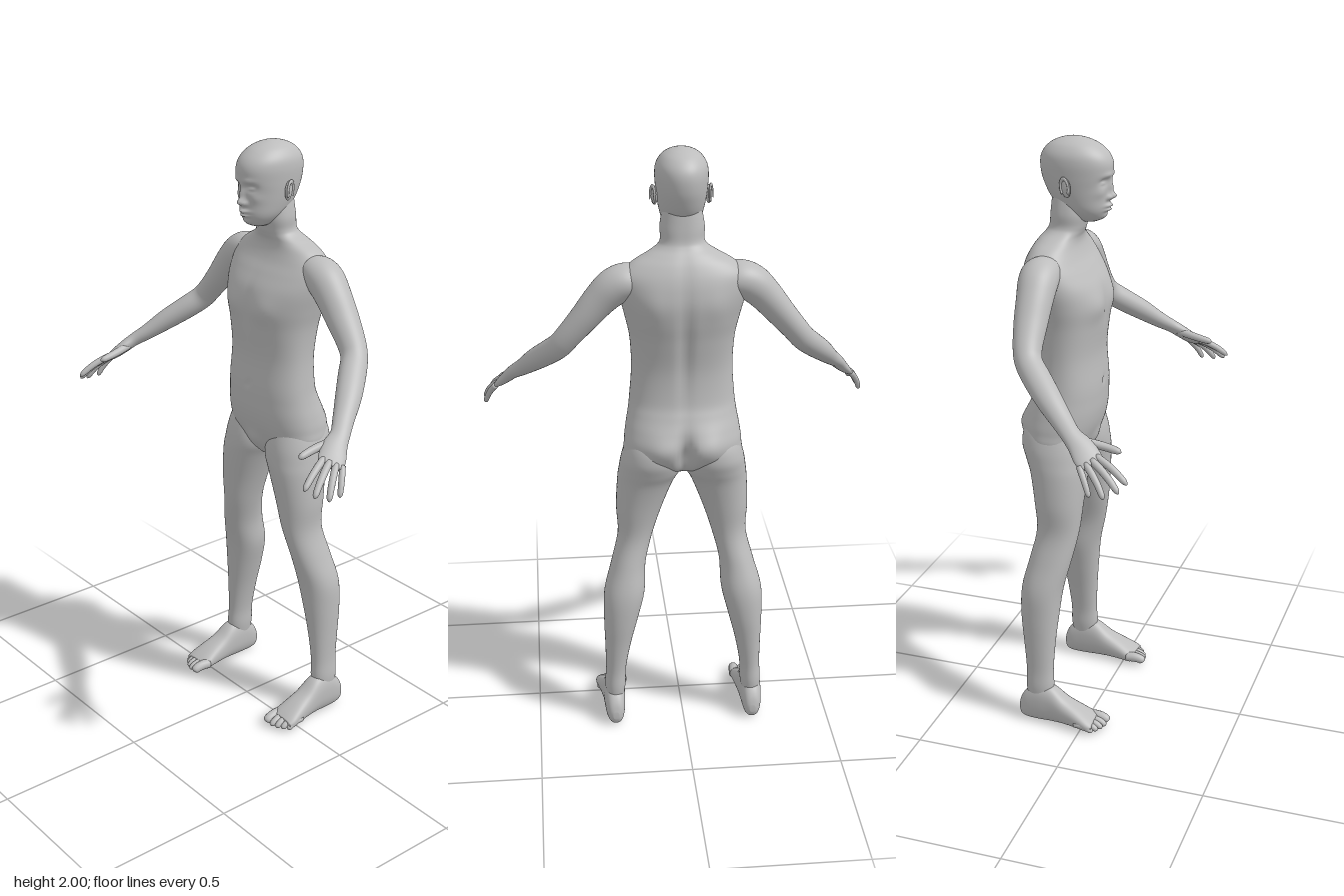
import * as THREE from 'three';

const skin = new THREE.MeshStandardMaterial({ color: 0xbdbdbd });
skin.name = 'skin';

// Catmull-Rom interpolation of every column of a table of cross-sections
function refine(rows, sub) {
  const out = [];
  const at = (i) => rows[Math.min(Math.max(i, 0), rows.length - 1)];
  for (let i = 0; i < rows.length - 1; i++) {
    for (let k = 0; k < sub; k++) {
      const t = k / sub;
      out.push(rows[i].map((b, j) => {
        const a = at(i - 1)[j], c = at(i + 1)[j], d = at(i + 2)[j];
        return b + 0.5 * t * (c - a + t * (2 * a - 5 * b + 4 * c - d + t * (3 * (b - c) + d - a)));
      }));
    }
  }
  out.push(rows[rows.length - 1]);
  return out;
}

// Closed smooth skin over cross-sections; place() gives a point of one section
function loft(table, sub, segs, place, n = 2) {
  const rows = refine(table, sub), pos = [], idx = [];
  const power = (v) => Math.sign(v) * Math.abs(v) ** (2 / n);
  rows.forEach((row, i) => {
    for (let j = 0; j < segs; j++) {
      const a = (j / segs) * Math.PI * 2;
      pos.push(...place(row, power(Math.cos(a)), power(Math.sin(a)), i, rows));
    }
  });
  for (let i = 0; i < rows.length - 1; i++) {
    for (let j = 0; j < segs; j++) {
      const a = i * segs + j, b = i * segs + (j + 1) % segs;
      idx.push(a, a + segs, b, b, a + segs, b + segs);
    }
  }
  // End caps
  [0, rows.length - 1].forEach((r) => {
    const mid = [0, 0, 0], centre = pos.length / 3;
    for (let j = 0; j < segs; j++) for (let k = 0; k < 3; k++) mid[k] += pos[(r * segs + j) * 3 + k] / segs;
    pos.push(...mid);
    for (let j = 0; j < segs; j++) {
      const a = r * segs + j, b = r * segs + (j + 1) % segs;
      if (r === 0) idx.push(centre, a, b); else idx.push(centre, b, a);
    }
  });
  // Turn the faces outward if the enclosed volume is negative
  const v = (i) => new THREE.Vector3().fromArray(pos, i * 3);
  let volume = 0;
  for (let i = 0; i < idx.length; i += 3) volume += v(idx[i]).dot(v(idx[i + 1]).cross(v(idx[i + 2])));
  if (volume < 0) idx.reverse();
  const geo = new THREE.BufferGeometry();
  geo.setAttribute('position', new THREE.Float32BufferAttribute(pos, 3));
  geo.setIndex(idx);
  geo.computeVertexNormals();
  return geo;
}

// Section rows for limbs: x, y, z, wide radius, thin radius; wide axis follows the knuckles
const knuckleAxis = new THREE.Vector3(-0.69, 0.3, 0.72);
function alongPath(row, c, s, i, rows) {
  const p = new THREE.Vector3().fromArray(row);
  const t = new THREE.Vector3().fromArray(rows[Math.min(i + 1, rows.length - 1)])
    .sub(new THREE.Vector3().fromArray(rows[Math.max(i - 1, 0)])).normalize();
  const wide = knuckleAxis.clone().addScaledVector(t, -knuckleAxis.dot(t)).normalize();
  const thin = t.clone().cross(wide);
  return p.addScaledVector(wide, c * row[3]).addScaledVector(thin, s * row[4]).toArray();
}

// Rounded tapering digit through base, joint and tip
function digit(base, joint, tip, r) {
  const curve = new THREE.QuadraticBezierCurve3(...[base, joint, tip].map((p) => new THREE.Vector3(...p)));
  const rows = [[0, 1], [0.3, 1], [0.6, 0.95], [0.85, 0.85], [0.95, 0.6], [1, 0.12]]
    .map(([t, k]) => [...curve.getPoint(t).toArray(), r * k, r * k]);
  return loft(rows, 3, 14, alongPath);
}

const bump = (dx, sx, dy, sy) => Math.exp(-((dx / sx) ** 2) - (dy / sy) ** 2);

// Torso and neck: y, half width, front z, back z
const torsoRows = [
  [0.935, 0.03, -0.07, -0.16], [0.96, 0.1, -0.05, -0.21], [1, 0.186, -0.034, -0.246],
  [1.05, 0.191, -0.015, -0.262], [1.1, 0.185, -0.005, -0.25], [1.15, 0.176, -0.002, -0.23],
  [1.2, 0.17, -0.002, -0.215], [1.3, 0.163, -0.008, -0.212], [1.4, 0.168, 0.002, -0.23],
  [1.47, 0.182, 0.006, -0.246], [1.53, 0.196, -0.006, -0.254], [1.58, 0.203, -0.034, -0.25],
  [1.62, 0.196, -0.06, -0.24], [1.655, 0.16, -0.075, -0.224], [1.68, 0.115, -0.077, -0.207],
  [1.7, 0.081, -0.07, -0.19], [1.72, 0.069, -0.063, -0.18], [1.76, 0.07, -0.056, -0.176],
  [1.82, 0.06, -0.06, -0.17],
];
function torsoPoint([y, w, zf, zb], c, s) {
  const x = c * w, ax = Math.abs(x), f = Math.max(s, 0), b = Math.max(-s, 0);
  let z = (zf + zb) / 2 + s * (zf - zb) / 2;
  // Chest, breastbone, navel and groin
  z += f * (0.01 * bump(ax - 0.08, 0.05, y - 1.47, 0.045) - 0.004 * bump(x, 0.015, y - 1.46, 0.08)
    - 0.006 * bump(x, 0.008, y - 1.2, 0.01) + 0.012 * bump(x, 0.035, y - 0.995, 0.03));
  // Spine groove, shoulder blades and buttocks
  z += b * (0.012 * bump(x, 0.02, y - 1.4, 0.2) - 0.006 * bump(ax - 0.1, 0.04, y - 1.53, 0.06)
    - 0.014 * bump(ax - 0.085, 0.05, y - 1.05, 0.055) + 0.045 * bump(x, 0.022, y - 1.02, 0.065));
  return [x, y, z];
}

// Head: y, half width, front z, back z
const headRows = [
  [1.733, 0.02, -0.028, -0.08], [1.742, 0.036, -0.008, -0.1], [1.76, 0.052, 0.005, -0.125],
  [1.78, 0.063, 0.012, -0.152], [1.81, 0.071, 0.014, -0.177], [1.845, 0.077, 0.017, -0.195],
  [1.88, 0.081, 0.024, -0.207], [1.92, 0.083, 0.026, -0.211], [1.95, 0.078, 0.013, -0.203],
  [1.975, 0.062, -0.015, -0.181], [1.99, 0.041, -0.047, -0.153], [1.998, 0.018, -0.078, -0.122],
  [2, 0.004, -0.096, -0.104],
];
function headPoint([y, w, zf, zb], c, s) {
  const x = c * w, ax = Math.abs(x);
  let z = (zf + zb) / 2 + s * (zf - zb) / 2;
  if (s > 0) {
    // Nose bridge, tip and wings
    let d = 0.012 * bump(x, 0.009, y - 1.842, 0.022) + 0.022 * bump(x, 0.011, y - 1.818, 0.012)
      + 0.01 * bump(ax - 0.014, 0.006, y - 1.814, 0.007);
    // Eye sockets, lids, brows and cheekbones
    d += -0.015 * bump(ax - 0.031, 0.016, y - 1.866, 0.012) + 0.009 * bump(ax - 0.032, 0.011, y - 1.863, 0.006)
      + 0.005 * bump(ax - 0.026, 0.02, y - 1.887, 0.008) + 0.004 * bump(ax - 0.045, 0.015, y - 1.832, 0.015);
    // Lips and chin
    d += 0.014 * bump(x, 0.02, y - 1.788, 0.006) + 0.012 * bump(x, 0.018, y - 1.774, 0.005)
      + 0.006 * bump(x, 0.018, y - 1.752, 0.009);
    z += d * Math.min(1, s * 2);
  }
  return [x, y, z];
}

// Legs: y, inner x, outer x, front z, back z
const legRows = [
  [1.13, 0.04, 0.14, -0.07, -0.18], [1.06, 0.012, 0.18, -0.045, -0.238], [1, 0.003, 0.2, -0.028, -0.25],
  [0.95, 0.005, 0.209, -0.022, -0.235], [0.9, 0.03, 0.215, -0.022, -0.215], [0.8, 0.068, 0.22, -0.03, -0.195],
  [0.7, 0.1, 0.216, -0.04, -0.185], [0.6, 0.125, 0.24, -0.06, -0.204], [0.5, 0.131, 0.267, -0.084, -0.226],
  [0.4, 0.155, 0.27, -0.096, -0.226], [0.3, 0.18, 0.268, -0.105, -0.215], [0.2, 0.198, 0.267, -0.11, -0.205],
  [0.13, 0.201, 0.271, -0.108, -0.205], [0.06, 0.212, 0.264, -0.12, -0.195],
];
const legPoint = ([y, a, b, zf, zb], c, s) => [(a + b) / 2 + c * (b - a) / 2, y, (zf + zb) / 2 + s * (zf - zb) / 2];

// Feet: z, inner x, outer x, sole y, top y
const footRows = [
  [-0.231, 0.228, 0.248, 0.03, 0.055], [-0.222, 0.215, 0.261, 0.01, 0.085], [-0.2, 0.207, 0.27, 0.002, 0.115],
  [-0.16, 0.203, 0.275, 0, 0.143], [-0.11, 0.2, 0.278, 0.002, 0.137], [-0.06, 0.197, 0.284, 0.004, 0.1],
  [-0.01, 0.193, 0.292, 0.003, 0.073], [0.025, 0.19, 0.297, 0.002, 0.053], [0.045, 0.196, 0.293, 0.008, 0.04],
];
const footPoint = ([z, a, b, y0, y1], c, s) => [(a + b) / 2 + c * (b - a) / 2, (y0 + y1) / 2 + s * (y1 - y0) / 2, z];

// Arms with palms, from inside the shoulder to the knuckles
const armRows = [
  [0.11, 1.6, -0.155, 0.05, 0.03], [0.17, 1.598, -0.152, 0.062, 0.054], [0.215, 1.578, -0.148, 0.063, 0.059],
  [0.26, 1.535, -0.143, 0.058, 0.053], [0.31, 1.475, -0.138, 0.053, 0.046], [0.36, 1.415, -0.13, 0.046, 0.041],
  [0.39, 1.377, -0.115, 0.043, 0.04], [0.425, 1.34, -0.075, 0.044, 0.039], [0.47, 1.295, -0.02, 0.041, 0.035],
  [0.51, 1.25, 0.035, 0.034, 0.027], [0.54, 1.22, 0.075, 0.031, 0.022], [0.556, 1.195, 0.11, 0.039, 0.02],
  [0.575, 1.17, 0.138, 0.043, 0.016], [0.588, 1.155, 0.158, 0.038, 0.01],
];

// Base, joint, tip and radius
const fingers = {
  thumb: [[0.538, 1.205, 0.1], [0.52, 1.195, 0.165], [0.527, 1.18, 0.227], 0.0135],
  indexFinger: [[0.563, 1.173, 0.16], [0.585, 1.155, 0.22], [0.598, 1.11, 0.268], 0.0115],
  middleFinger: [[0.58, 1.166, 0.152], [0.608, 1.14, 0.21], [0.625, 1.09, 0.25], 0.0118],
  ringFinger: [[0.594, 1.158, 0.138], [0.628, 1.127, 0.185], [0.645, 1.075, 0.21], 0.0112],
  littleFinger: [[0.605, 1.152, 0.122], [0.634, 1.117, 0.15], [0.643, 1.075, 0.165], 0.01],
};
// Centre x, tip z, radius
const toes = [[0.208, 0.083, 0.0175], [0.233, 0.08, 0.0125], [0.253, 0.073, 0.012], [0.271, 0.062, 0.0115], [0.287, 0.048, 0.011]];

export function createModel() {
  const model = new THREE.Group();
  model.name = 'humanFigure';
  const add = (name, geo) => {
    const mesh = new THREE.Mesh(geo, skin);
    mesh.name = name;
    model.add(mesh);
  };
  // Left part and its mirrored twin
  const pair = (name, geo) => {
    add('left' + name, geo);
    const twin = geo.clone().scale(-1, 1, 1);
    twin.setIndex(Array.from(geo.index.array).reverse());
    twin.computeVertexNormals();
    add('right' + name, twin);
  };

  add('torso', loft(torsoRows, 6, 96, torsoPoint, 2.25));
  add('head', loft(headRows, 8, 120, headPoint, 2.1));
  pair('Leg', loft(legRows, 5, 48, legPoint, 2.1));
  pair('Foot', loft(footRows, 5, 40, footPoint, 2.4));
  pair('Arm', loft(armRows, 5, 40, alongPath));
  for (const [name, spec] of Object.entries(fingers)) pair(name[0].toUpperCase() + name.slice(1), digit(...spec));
  toes.forEach(([x, z, r], i) => {
    pair('Toe' + (i + 1), digit([x - 0.004, 0.028, z - 0.065], [x, 0.034, z - 0.02], [x, r * 0.9, z], r));
  });

  // Ears: flattened shell with a raised rim
  const setEar = (geo) => geo.rotateX(-0.15).rotateY(0.35).translate(0.084, 1.852, -0.1);
  pair('Ear', setEar(new THREE.SphereGeometry(1, 20, 14).scale(0.009, 0.031, 0.018)));
  pair('EarRim', setEar(new THREE.TorusGeometry(0.016, 0.004, 8, 28, Math.PI * 1.5)
    .rotateZ(-Math.PI / 4).rotateY(Math.PI / 2).scale(1, 1.7, 1).translate(0.007, 0.002, 0)));
  return model;
}
